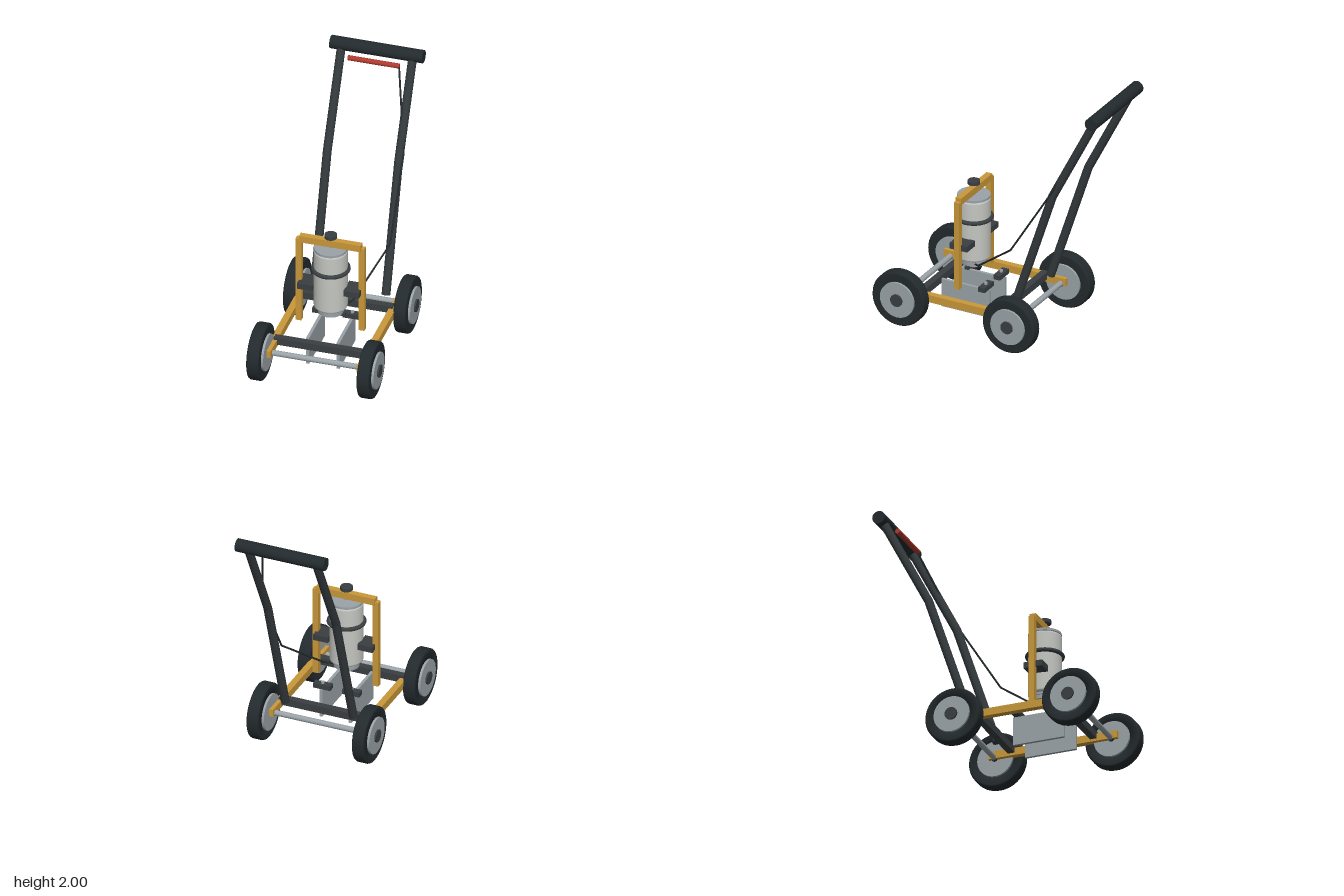
import * as THREE from 'three';

const mat = (color) => new THREE.MeshStandardMaterial({ color });
const V = (x, y, z) => new THREE.Vector3(x, y, z);

export function createModel() {
  const root = new THREE.Group();
  const yellow = mat(0xc9983a), dark = mat(0x3a3f42), rubber = mat(0x232a2d),
    tubeDark = mat(0x33393c), steel = mat(0x9aa3a8), pale = mat(0xc4c6c0), red = mat(0xb03a2e);

  const add = (name, geo, material, x = 0, y = 0, z = 0, parent = root) => {
    const m = new THREE.Mesh(geo, material);
    m.name = name;
    m.position.set(x, y, z);
    parent.add(m);
    return m;
  };
  const box = (name, material, w, h, d, x, y, z) =>
    add(name, new THREE.BoxGeometry(w, h, d), material, x, y, z);
  const cyl = (name, material, r, h, x, y, z, parent = root) =>
    add(name, new THREE.CylinderGeometry(r, r, h, 32), material, x, y, z, parent);
  // cylinder lying along x
  const barX = (name, material, r, len, x, y, z, parent = root) => {
    const m = cyl(name, material, r, len, x, y, z, parent);
    m.rotation.z = Math.PI / 2;
    return m;
  };
  // straight rods with rounded joints along a list of points
  const rods = (name, material, r, points, segments) => {
    const g = new THREE.Group();
    g.name = name;
    root.add(g);
    for (let i = 0; i < points.length - 1; i++) {
      const a = points[i], b = points[i + 1];
      const rod = add(name + 'Section', new THREE.CylinderGeometry(r, r, a.distanceTo(b), segments), material, 0, 0, 0, g);
      rod.position.copy(a).lerp(b, 0.5);
      rod.quaternion.setFromUnitVectors(V(0, 1, 0), b.clone().sub(a).normalize());
      if (i > 0) add(name + 'Joint', new THREE.SphereGeometry(r, segments, 8), material, a.x, a.y, a.z, g);
    }
  };

  // wheels and axles
  const axleY = 0.214;
  const tyreProfile = [[0.13, -0.044], [0.2, -0.048], [0.209, -0.044], [0.214, -0.034],
    [0.214, 0.034], [0.209, 0.044], [0.2, 0.048], [0.13, 0.044], [0.13, -0.044]]
    .map(([r, h]) => new THREE.Vector2(r, h));
  for (const z of [0.685, -0.228]) {
    barX('axle', steel, 0.021, 0.7, 0, axleY + 0.004, z);
    for (const s of [-1, 1]) {
      const wheel = new THREE.Group();
      wheel.name = 'wheel';
      wheel.position.set(s * 0.418, axleY, z);
      root.add(wheel);
      add('tyre', new THREE.LatheGeometry(tyreProfile, 48), rubber, 0, 0, 0, wheel).rotation.z = Math.PI / 2;
      barX('hub', steel, 0.139, 0.124, 0, 0, 0, wheel);
      barX('hubCap', dark, 0.048, 0.02, s * 0.065, 0, 0, wheel);
      barX('axleCollar', dark, 0.024, 0.03, -s * 0.07, 0, 0, wheel);
    }
  }

  // chassis
  for (const s of [-1, 1]) box('sideRail', yellow, 0.05, 0.058, 1.01, s * 0.351, 0.232, 0.235);
  for (const z of [0.555, -0.088]) box('crossBeam', dark, 0.704, 0.056, 0.052, 0, 0.25, z);

  // push handle
  for (const s of [-1, 1]) {
    rods('handleTube', tubeDark, 0.032,
      [V(s * 0.27, 0.3, -0.177), V(s * 0.27, 1.25, -0.49), V(s * 0.27, 1.95, -0.85)], 24);
  }
  barX('handleGrip', rubber, 0.049, 0.704, 0, 1.951, -0.85);
  barX('controlLever', red, 0.019, 0.39, -0.002, 1.893, -0.765);
  rods('controlCable', rubber, 0.007,
    [V(0.19, 1.885, -0.765), V(0.302, 1.32, -0.515), V(0.306, 0.75, -0.162),
      V(0.135, 0.46, 0.2), V(0.06, 0.425, 0.27)], 10);

  // tank support frame
  const cz = 0.31;
  for (const s of [-1, 1]) {
    box('frameUpright', yellow, 0.044, 0.7, 0.044, s * 0.239, 0.648, cz);
    box('tankBracket', dark, 0.118, 0.046, 0.145, s * 0.176, 0.624, cz);
  }
  box('frameTop', yellow, 0.468, 0.054, 0.048, 0, 0.999, cz);

  // tank, band and valve
  const tankProfile = [[0, 0.458], [0.112, 0.458], [0.121, 0.463], [0.124, 0.474],
    [0.124, 0.924], [0.121, 0.936], [0.112, 0.941], [0, 0.941]].map(([r, y]) => new THREE.Vector2(r, y));
  add('tank', new THREE.LatheGeometry(tankProfile, 48), pale, 0, 0, cz);
  cyl('tankLid', steel, 0.122, 0.018, 0, 0.95, cz);
  add('tankBand', new THREE.TorusGeometry(0.129, 0.016, 14, 48), dark, 0, 0.78, cz).rotation.x = Math.PI / 2;
  cyl('tankCollar', steel, 0.102, 0.02, 0, 0.45, cz);
  cyl('tankBase', steel, 0.094, 0.04, 0, 0.43, cz);
  cyl('nozzle', red, 0.021, 0.045, 0, 0.39, cz);
  box('valveArm', dark, 0.1, 0.022, 0.035, 0.062, 0.403, cz);
  cyl('knobStem', steel, 0.014, 0.09, 0, 1.005, cz);
  cyl('knob', dark, 0.046, 0.027, 0, 1.056, cz);

  // guide plates with clamps and bolts
  for (const s of [-1, 1]) {
    box('guidePlate', steel, 0.023, 0.22, 0.4, s * 0.115, 0.165, 0.31);
    box('plateClamp', dark, 0.137, 0.037, 0.054, s * 0.115, 0.296, 0.147);
    cyl('clampBolt', steel, 0.013, 0.03, s * 0.115, 0.315, 0.147);
  }
  return root;
}
